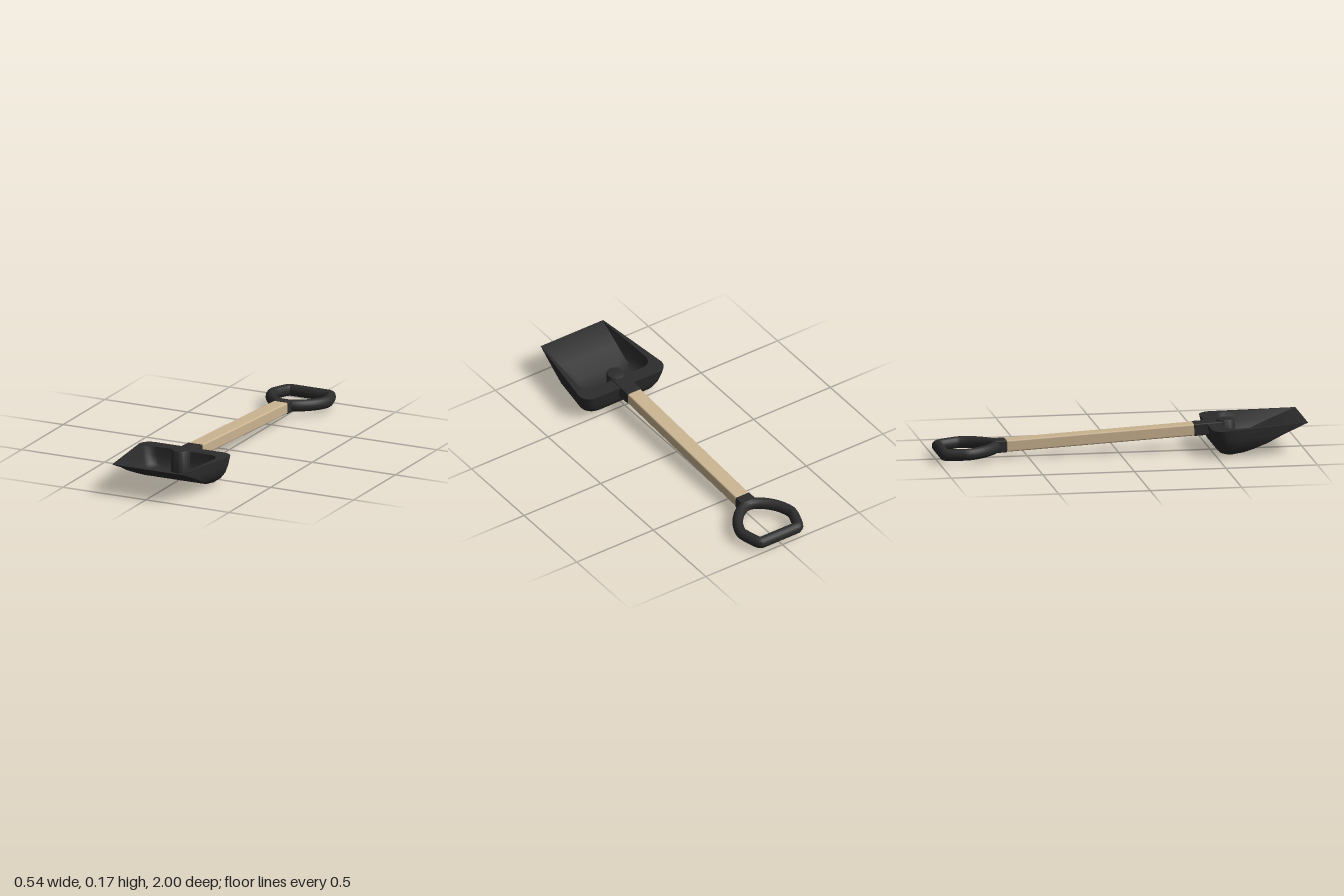
import * as THREE from 'three';
import { toCreasedNormals } from 'three/addons/utils/BufferGeometryUtils.js';
import { RoundedBoxGeometry } from 'three/addons/geometries/RoundedBoxGeometry.js';

const black = new THREE.MeshStandardMaterial({ color: 0x2c2c2c });
black.name = 'black plastic';
const wood = new THREE.MeshStandardMaterial({ color: 0xcbb491 });
wood.name = 'pale wood';

function add(parent, name, geometry, material, x = 0, y = 0, z = 0) {
  const mesh = new THREE.Mesh(geometry, material);
  mesh.name = name;
  mesh.position.set(x, y, z);
  parent.add(mesh);
  return mesh;
}

// One level of the scoop: straight front edge, tapering sides, rounded back corners.
function scoopOutline([y, zFront, wFront, zBack, wBack]) {
  const r = Math.min(0.065, (zFront - zBack) * 0.7, wBack);
  const half = [];
  for (let i = 0; i <= 4; i++) half.push([wFront * i / 4, zFront]);
  for (let i = 1; i <= 6; i++) {
    const t = i / 6;
    half.push([wFront + (wBack - wFront) * t, zFront + (zBack + r - zFront) * t]);
  }
  for (let i = 1; i <= 6; i++) {
    const a = i / 6 * Math.PI / 2;
    half.push([wBack - r + r * Math.cos(a), zBack + r - r * Math.sin(a)]);
  }
  half.push([(wBack - r) / 2, zBack], [0, zBack]);
  const mirrored = half.slice(1, -1).reverse().map(([x, z]) => [-x, z]);
  return [...half, ...mirrored].map(([x, z]) => [x, y + 0.043 * (z - 0.5), z]);
}

// Loft from the underside, up the outside, over the rim and down to the floor.
function scoopGeometry() {
  const levels = [
    [-0.003, 0.59, 0, 0.59, 0],
    [-0.002, 0.61, 0.15, 0.555, 0.16],
    [0.01, 0.65, 0.185, 0.53, 0.205],
    [0.03, 0.7, 0.21, 0.511, 0.232],
    [0.06, 0.775, 0.225, 0.497, 0.252],
    [0.1, 0.866, 0.219, 0.487, 0.264],
    [0.15, 1.0, 0.204, 0.475, 0.27],
    [0.15, 0.995, 0.199, 0.555, 0.222],
    [0.1, 0.85, 0.188, 0.56, 0.208],
    [0.06, 0.745, 0.18, 0.572, 0.19],
    [0.045, 0.69, 0.15, 0.59, 0.165],
    [0.043, 0.64, 0, 0.64, 0],
  ];
  const rings = levels.map(scoopOutline);
  const n = rings[0].length;
  const index = [];
  for (let l = 0; l < rings.length - 1; l++) {
    for (let i = 0; i < n; i++) {
      const a = l * n + i, b = l * n + (i + 1) % n;
      if (l > 0) index.push(a, b, b + n);
      if (l < rings.length - 2) index.push(a, b + n, a + n);
      if (l === 0) index.push(a, b + n, a + n);
    }
  }
  const geometry = new THREE.BufferGeometry();
  geometry.setAttribute('position', new THREE.Float32BufferAttribute(rings.flat(2), 3));
  geometry.setIndex(index);
  return toCreasedNormals(geometry, 0.75);
}

// Closed grip loop: straight bar with tight corners, curving down to the neck.
function gripGeometry() {
  const side = [
    [0.1, -0.972], [0.12, -0.971], [0.132, -0.955], [0.156, -0.885], [0.163, -0.855],
    [0.157, -0.822], [0.132, -0.768], [0.09, -0.718], [0.045, -0.685],
  ];
  const left = side.slice().reverse().map(([x, z]) => [-x, z]);
  const points = [[0, -0.972], ...side, [0, -0.671], ...left]
    .map(([x, z]) => new THREE.Vector3(x, 0, z));
  const curve = new THREE.CatmullRomCurve3(points, true);
  return new THREE.TubeGeometry(curve, 96, 0.029, 16, true);
}

export function createModel() {
  const model = new THREE.Group();
  model.name = 'shovel';

  add(model, 'scoop', scoopGeometry(), black);

  // Handle parts share one slightly tilted axis.
  const handle = new THREE.Group();
  handle.name = 'handle';
  handle.position.y = 0.097;
  handle.rotation.x = -0.051;
  model.add(handle);

  add(handle, 'shaft', new RoundedBoxGeometry(0.086, 0.063, 1.04, 3, 0.008), wood, 0, 0, -0.1);
  add(handle, 'scoopSocket', new RoundedBoxGeometry(0.09, 0.066, 0.18, 3, 0.006), black, 0, 0, 0.495);
  add(handle, 'gripSocket', new RoundedBoxGeometry(0.09, 0.066, 0.065, 3, 0.006), black, 0, 0, -0.65);
  add(handle, 'grip', gripGeometry(), black).scale.y = 1.12;

  // Round boss rising from the scoop floor, with a softened top edge.
  const profile = [[0, -0.085], [0.05, -0.085], [0.05, 0.034], [0.047, 0.039], [0.042, 0.041], [0, 0.041]]
    .map(([x, y]) => new THREE.Vector2(x, y));
  const boss = toCreasedNormals(new THREE.LatheGeometry(profile, 32), 0.6);
  add(handle, 'boss', boss, black, 0, 0, 0.585);

  return model;
}
